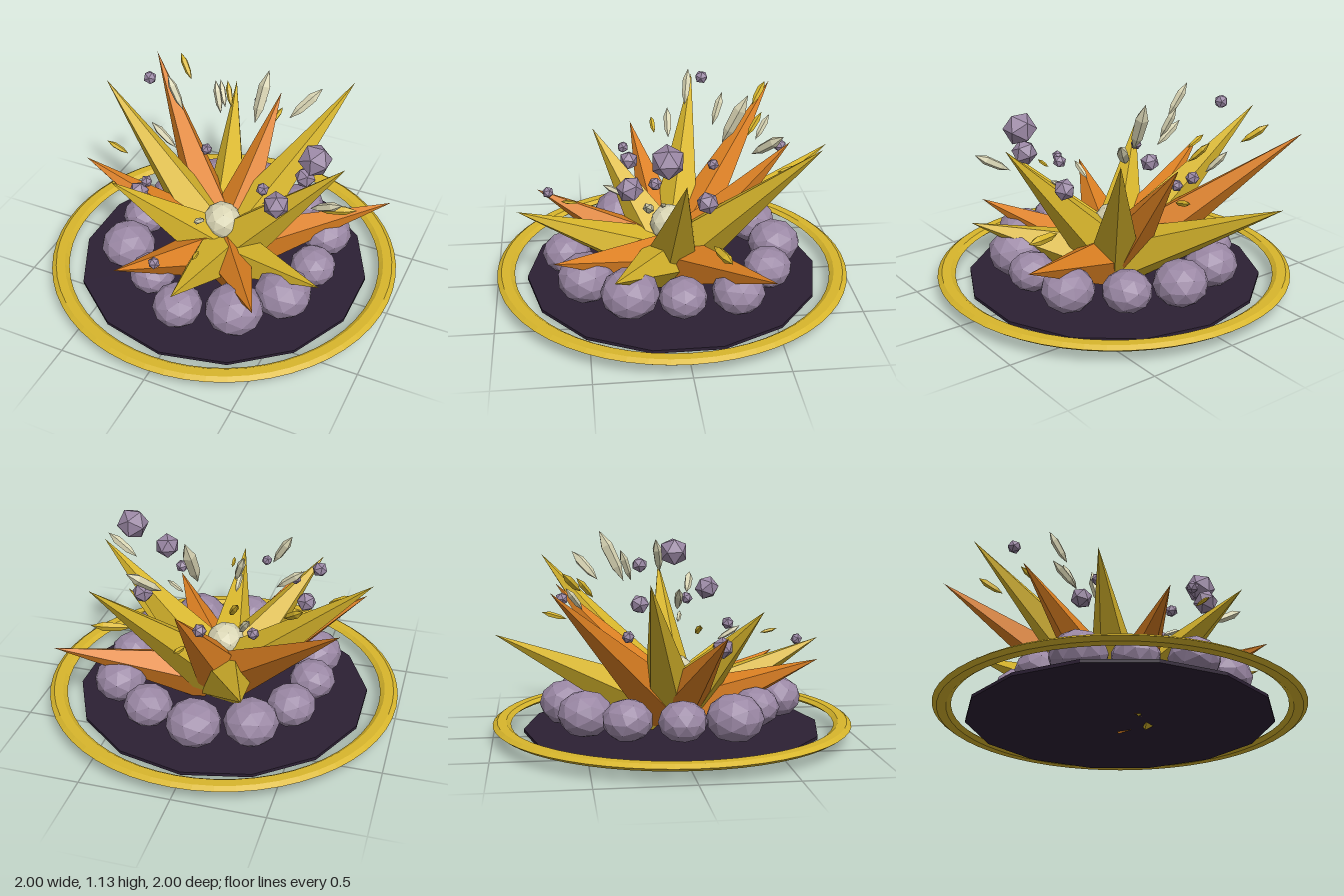
import * as THREE from 'three';

const mat = (name, color) => {
  const m = new THREE.MeshStandardMaterial({ color, flatShading: true });
  m.name = name;
  return m;
};

export function createModel() {
  const root = new THREE.Group();
  const scorch = mat('scorched ground', 0x2c2034);
  const gold = mat('gold', 0xd8b62c);
  const orange = mat('orange', 0xdc8022);
  const smoke = mat('smoke purple', 0x9a87a4);
  const pale = mat('pale cream', 0xd9d5b4);
  const UP = new THREE.Vector3(0, 1, 0);

  const group = (name) => {
    const g = new THREE.Group();
    g.name = name;
    root.add(g);
    return g;
  };
  const add = (parent, name, geo, material, x, y, z) => {
    const m = new THREE.Mesh(geo, material);
    m.name = name;
    m.position.set(x, y, z);
    parent.add(m);
    return m;
  };

  // Ground disc and flattened shock ring
  add(root, 'groundDisc', new THREE.CylinderGeometry(0.83, 0.83, 0.018, 14), scorch, 0, 0.02, 0);
  const ringGeo = new THREE.TorusGeometry(0.95, 0.05, 6, 56).rotateX(Math.PI / 2).scale(1, 0.42, 1);
  add(root, 'shockRing', ringGeo, gold, 0, 0.065, 0);

  // Ring of smoke puffs: x, z, radius
  const puffs = group('smokePuffs');
  [
    [0, 0.6, 0.137], [0.29, 0.5, 0.16], [0.48, 0.275, 0.16], [0.55, 0, 0.13],
    [0.52, -0.3, 0.145], [0.285, -0.5, 0.135], [0, -0.59, 0.15], [-0.29, -0.5, 0.15],
    [-0.46, -0.29, 0.135], [-0.52, -0.01, 0.13], [-0.48, 0.27, 0.155], [-0.24, 0.43, 0.13],
  ].forEach(([x, z, r], i) => {
    const p = add(puffs, 'smokePuff', new THREE.IcosahedronGeometry(r, 1), smoke, x, 0.175, z);
    p.scale.y = 0.84;
    p.rotation.y = i * 0.7;
  });

  // Blast spikes: tip x, y, z; each cone starts just outside the centre
  const spikes = group('blastSpikes');
  const centre = new THREE.Vector3(0, 0.1, 0);
  const spike = (material, radius) => ([x, y, z]) => {
    const dir = new THREE.Vector3(x, y, z).sub(centre);
    const length = dir.length() - 0.1;
    dir.normalize();
    const geo = new THREE.ConeGeometry(radius, length, 5).translate(0, length / 2, 0);
    const p = centre.clone().addScaledVector(dir, 0.1);
    add(spikes, 'blastSpike', geo, material, p.x, p.y, p.z).quaternion.setFromUnitVectors(UP, dir);
  };
  [
    [-0.353, 0.62, -0.96], [-0.845, 0.92, -0.21], [-0.475, 0.73, 0.42], [0.49, 0.96, -0.715],
    [0.69, 0.885, 0], [0.71, 0.375, 0.365], [0.1, 0.495, 0.86],
  ].forEach(spike(gold, 0.158));
  [
    [-0.76, 0.88, -0.68], [-0.77, 0.645, 0.18], [0.075, 0.83, -0.64],
    [0.845, 0.405, -0.44], [-0.287, 0.44, 0.757], [0.465, 0.365, 0.67],
  ].forEach(spike(orange, 0.155));

  // Hot core
  add(root, 'hotCore', new THREE.IcosahedronGeometry(0.11, 1), pale, -0.005, 0.325, 0.015);

  // Flying rocks: x, y, z, radius
  const rocks = group('flyingRocks');
  [
    [0.55, 0.96, 0.08, 0.09], [0.415, 0.755, 0.262, 0.072], [0.425, 0.66, -0.14, 0.06],
    [-0.57, 0.99, -0.235, 0.04], [-0.425, 0.537, 0.213, 0.058], [-0.35, 0.657, 0.25, 0.034],
    [0.28, 0.713, 0.12, 0.037], [-0.045, 0.76, -0.61, 0.037], [-0.235, 0.573, -0.265, 0.035],
    [-0.08, 0.518, 0.69, 0.033],
  ].forEach(([x, y, z, r], i) => {
    const rock = add(rocks, 'flyingRock', new THREE.IcosahedronGeometry(r, 0), smoke, x, y, z);
    rock.rotation.set(i * 0.9, i * 1.3, 0);
  });

  // Slim sparks: x, y, z, direction x, y, z, length
  const sparks = group('sparks');
  const sparkProfile = [[0, -0.5], [0.1, -0.22], [0.115, 0.2], [0, 0.5]].map(([x, y]) => new THREE.Vector2(x, y));
  const sparkGeo = new THREE.LatheGeometry(sparkProfile, 5);
  const spark = (material) => ([x, y, z, dx, dy, dz, length]) => {
    const s = add(sparks, 'spark', sparkGeo, material, x, y, z);
    s.scale.setScalar(length);
    s.quaternion.setFromUnitVectors(UP, new THREE.Vector3(dx, dy, dz).normalize());
  };
  [
    [-0.35, 1.015, -0.12, -0.5, 0.85, -0.15, 0.21], [-0.375, 0.79, -0.015, -0.75, 0.6, -0.05, 0.2],
    [-0.26, 0.785, -0.55, -0.4, 0.7, -0.5, 0.17], [-0.16, 0.95, -0.27, -0.3, 0.85, -0.3, 0.19],
    [0.08, 0.98, -0.33, 0.08, 0.85, -0.4, 0.31], [0.29, 0.91, -0.47, 0.55, 0.6, -0.55, 0.25],
    [0.66, 0.765, 0.185, 0.85, 0.5, 0.2, 0.22], [0, 0.55, 0.32, 0, 0.5, 0.85, 0.15],
    [0.31, 0.6, 0.08, 0.8, 0.4, 0.2, 0.12],
  ].forEach(spark(pale));
  [
    [-0.51, 0.9, -0.57, -0.6, 0.55, -0.5, 0.18], [-0.19, 0.835, -0.49, -0.4, 0.7, -0.55, 0.16],
    [0.6, 0.445, -0.2, 0.95, 0.06, -0.28, 0.23], [-0.64, 0.67, 0.05, -0.9, 0.4, 0.05, 0.14],
    [0.05, 0.655, -0.65, 0.1, 0.25, -0.9, 0.14], [0.1, 0.54, 0.57, 0.1, 0.2, 0.95, 0.1],
  ].forEach(spark(gold));

  return root;
}
